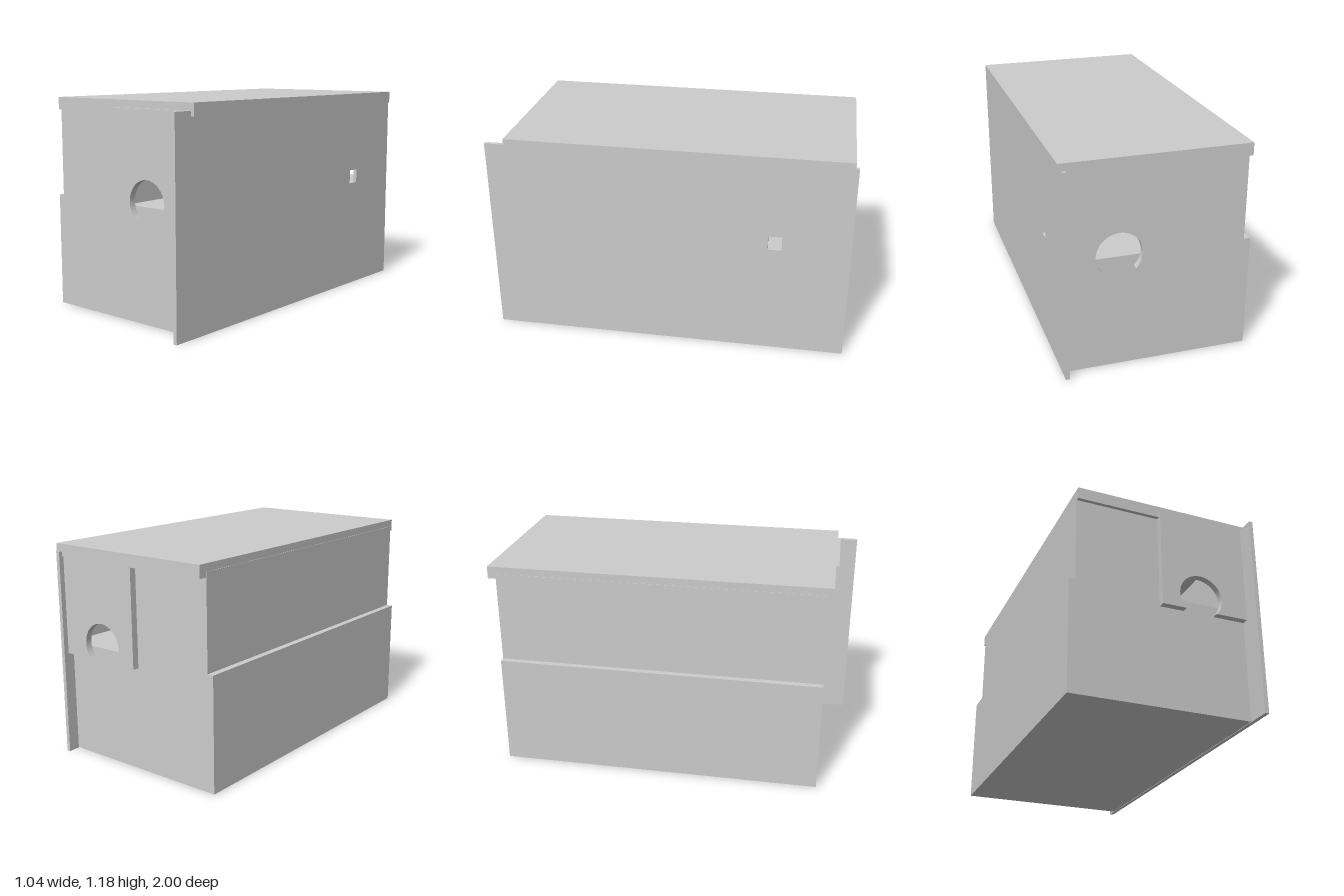
import * as THREE from 'three';

const grey = new THREE.MeshStandardMaterial({ color: 0xcccccc, flatShading: true });

// Extrudes a shape by a depth and names the mesh
function slab(name, shape, depth) {
  const geo = new THREE.ExtrudeGeometry(shape, { depth, bevelEnabled: false, curveSegments: 48 });
  const mesh = new THREE.Mesh(geo, grey);
  mesh.name = name;
  return mesh;
}

function polygon(points) {
  return new THREE.Shape(points.map(([x, y]) => new THREE.Vector2(x, y)));
}

export function createModel() {
  const model = new THREE.Group();
  model.name = 'steppedBox';
  const back = -0.935, front = 0.865, top = 1.137, step = 0.63;

  // Body: wide base with a narrower upper block, leaving an open channel beside it
  const body = slab('body', polygon([
    [-0.52, 0.003], [0.48, 0.003], [0.48, step], [0.03, step],
    [0.03, top], [-0.485, top], [-0.485, step], [-0.52, step],
  ]), front - back);
  body.position.z = back;
  model.add(body);

  // Side panel, longer than the body, with a small square window (drawn in z, y)
  const side = polygon([[-1, 0], [1, 0], [1, top], [-1, top]]);
  side.holes.push(polygon([[-0.63, 0.63], [-0.63, 0.71], [-0.555, 0.71], [-0.555, 0.63]]));
  const panel = slab('sidePanel', side, 0.022);
  panel.rotation.y = -Math.PI / 2;
  panel.position.x = 0.5;
  model.add(panel);

  // End plates closing the channel, each with a round opening cut by its lower edge
  const cx = 0.208, cy = 0.655, r = 0.123, low = 0.57;
  const a = Math.asin((cy - low) / r);
  const plate = new THREE.Shape();
  plate.moveTo(-0.017, low);
  plate.lineTo(cx - r * Math.cos(a), low);
  plate.absarc(cx, cy, r, Math.PI + a, -a, true);
  plate.lineTo(0.478, low);
  plate.lineTo(0.478, top);
  plate.lineTo(-0.017, top);
  const thick = 0.037;
  for (const [name, z] of [['frontPlate', front], ['backPlate', back - thick]]) {
    const mesh = slab(name, plate, thick);
    mesh.position.z = z;
    model.add(mesh);
  }

  // Lid
  const lid = new THREE.Mesh(new THREE.BoxGeometry(1, 0.068, 1.866), grey);
  lid.name = 'lid';
  lid.position.set(0.018, 1.143, -0.048);
  model.add(lid);

  return model;
}
